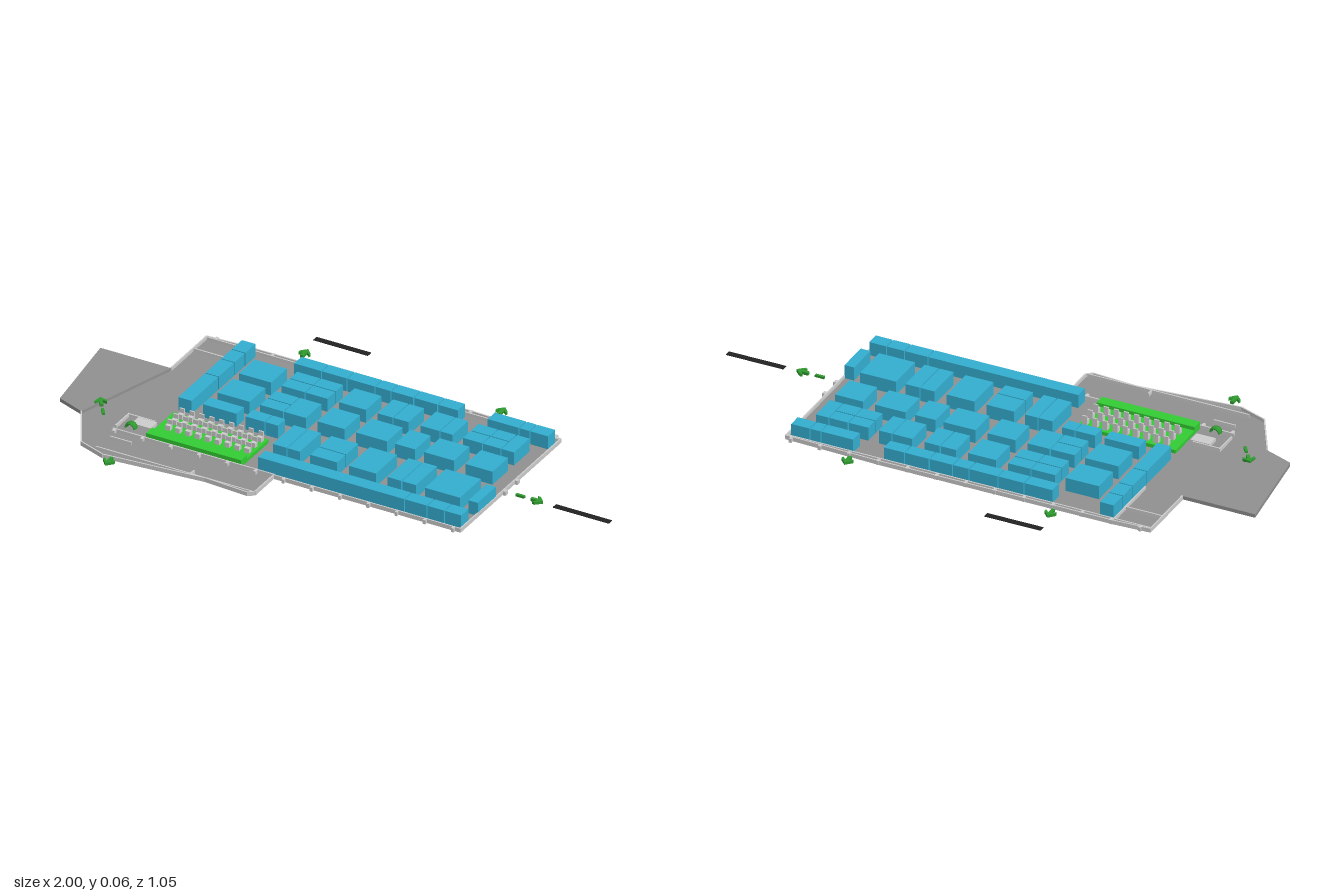
import * as THREE from 'three';

const mat = (color) => new THREE.MeshStandardMaterial({ color });

export function createModel() {
  const model = new THREE.Group();
  const grey = mat(0xcccccc), floorGrey = mat(0x909090), blue = mat(0x33aed0);
  const green = mat(0x33cc33), arrowGreen = mat(0x2f9a2f), dark = mat(0x222222);
  const FLOOR = 0.009, WALL = 0.021, TOP = 0.058;

  const group = (name, parent = model) => {
    const g = new THREE.Group();
    g.name = name;
    parent.add(g);
    return g;
  };
  const add = (parent, name, geometry, material) => {
    const m = new THREE.Mesh(geometry, material);
    m.name = name;
    parent.add(m);
    return m;
  };
  // box given by its limits
  const box = (parent, name, material, x0, x1, y0, y1, z0, z1) => {
    const m = add(parent, name, new THREE.BoxGeometry(x1 - x0, y1 - y0, z1 - z0), material);
    m.position.set((x0 + x1) / 2, (y0 + y1) / 2, (z0 + z1) / 2);
    return m;
  };
  // flat plate from an outline of [x, z] points
  const plate = (parent, name, material, points, y0, y1) => {
    const shape = new THREE.Shape(points.map(([x, z]) => new THREE.Vector2(x, -z)));
    const geo = new THREE.ExtrudeGeometry(shape, { depth: y1 - y0, bevelEnabled: false });
    const m = add(parent, name, geo.rotateX(-Math.PI / 2), material);
    m.position.y = y0;
    return m;
  };
  // thin upright wall between two [x, z] points
  const wall = (parent, [x0, z0], [x1, z1], height = WALL, thick = 0.005) => {
    const len = Math.hypot(x1 - x0, z1 - z0);
    const m = add(parent, 'wall', new THREE.BoxGeometry(len, height - 0.006, thick), grey);
    m.position.set((x0 + x1) / 2, (height + 0.006) / 2, (z0 + z1) / 2);
    m.rotation.y = -Math.atan2(z1 - z0, x1 - x0);
  };

  // floor: hall with entrance area, plus the western annex
  const hall = [
    [-0.735, -0.12], [-0.735, -0.355], [-0.6, -0.362], [0.25, -0.362], [0.595, -0.35],
    [0.595, 0.313], [-0.105, 0.313], [-0.105, 0.436], [-0.125, 0.452], [-0.29, 0.441],
    [-0.655, 0.473], [-0.757, 0.436], [-0.853, 0.265],
  ];
  plate(model, 'hallFloor', floorGrey, hall, 0.006, FLOOR);
  plate(model, 'annexFloor', floorGrey,
    [[-0.735, -0.12], [-0.853, 0.265], [-0.955, 0.227], [-1, -0.12]], 0.006, 0.019);

  // low outer walls and partitions
  const walls = group('walls');
  for (let i = 0; i < hall.length - 1; i++) wall(walls, hall[i], hall[i + 1]);
  [
    [[-0.735, -0.265], [-0.6, -0.265]], [[-0.6, -0.36], [-0.6, -0.12]],
    [[-0.73, -0.35], [0.59, -0.345]], [[-0.71, 0.2], [-0.71, 0.29]],
    [[-0.71, 0.31], [-0.105, 0.31]], [[-0.7, 0.44], [-0.11, 0.44]],
    [[-0.71, 0.205], [-0.61, 0.205]], [[-0.345, 0.415], [-0.345, 0.44]],
    [[-0.69, 0.36], [-0.61, 0.36]],
  ].forEach(([a, b]) => wall(walls, a, b));
  box(walls, 'entranceBlock', grey, -0.67, -0.6, 0.006, 0.022, 0.21, 0.255);

  // columns along the long walls and the east side
  const columns = group('columns');
  const column = (x, z) => box(columns, 'column', grey, x - 0.005, x + 0.005, 0.006, WALL, z - 0.008, z + 0.008);
  for (let i = 0; i < 13; i++) {
    const x = -0.7 + i * 0.106;
    column(x, -0.358);
    if (x > -0.75) column(x, 0.318);
  }
  [-0.05, 0.03].forEach((z) => column(0.603, z));

  // exhibition stands: rows of [z0, z1, [x0, x1, ...further pairs]]
  const stands = group('stands');
  const stand = (x0, x1, z0, z1) => box(stands, 'stand', blue, x0, x1, 0.0065, TOP, z0, z1);
  const G = 0.002;
  // a block cut into cells at the given x and z lines
  const block = (xs, zs) => {
    for (let i = 0; i < xs.length - 1; i++)
      for (let j = 0; j < zs.length - 1; j++)
        stand(xs[i] + G, xs[i + 1] - G, zs[j] + G, zs[j + 1] - G);
  };
  block([-0.592, -0.538], [-0.335, -0.265, -0.195, -0.09, 0.09]);
  block([-0.37, -0.265, -0.17, -0.065, -0.005, 0.08, 0.17, 0.247], [-0.337, -0.285]);
  block([0.355, 0.475, 0.515, 0.585], [-0.337, -0.285]);
  const rowA = [-0.247, -0.14], rowAHalf = [-0.247, -0.195, -0.14];
  block([-0.495, -0.37], rowA);
  block([-0.335, -0.245, -0.16], rowAHalf);
  block([-0.12, -0.015], rowA);
  block([0.025, 0.085, 0.145], rowA);
  block([0.185, 0.26, 0.31], rowA);
  block([0.345, 0.42, 0.49], rowAHalf);
  block([0.49, 0.54], rowA);
  const rowB = [-0.105, 0.002];
  block([-0.495, -0.37], rowB);
  block([-0.335, -0.245], [-0.105, -0.05, 0.002]);
  block([-0.245, -0.16], rowB);
  [[-0.12, -0.015], [0.025, 0.145], [0.17, 0.25], [0.28, 0.395], [0.435, 0.54]].forEach((xs) => block(xs, rowB));
  block([-0.5, -0.37], [0.037, 0.09]);
  block([-0.34, -0.265, -0.215], [0.037, 0.09]);
  const rowC = [0.057, 0.2];
  block([-0.175, -0.12, -0.07], rowC);
  block([-0.035, 0.07], [0.057, 0.14, 0.2]);
  [[0.11, 0.215], [0.255, 0.31, 0.365], [0.395, 0.53]].forEach((xs) => block(xs, rowC));
  block([0.558, 0.597], [0.077, 0.2]);
  block([-0.175, 0.375, 0.46, 0.525, 0.59], [0.245, 0.297]);

  // stage with its seating
  const stage = group('stage');
  box(stage, 'seatingBase', green, -0.587, -0.23, 0, 0.022, 0.127, 0.267);
  box(stage, 'platform', green, -0.587, -0.23, 0, 0.035, 0.267, 0.307);
  for (let row = 0; row < 3; row++) {
    for (let col = 0; col < 9; col++) {
      const chair = group('chair', stage);
      chair.position.set(-0.545 + col * 0.037, 0.022, 0.148 + row * 0.041);
      box(chair, 'seat', grey, -0.009, 0.009, 0, 0.018, -0.009, 0.009);
      box(chair, 'backrest', grey, -0.009, 0.009, 0.018, 0.034, -0.009, -0.004);
    }
  }

  // direction arrows, pointing along -z before turning
  const arrow = (x, z, turn, tail = true) => {
    const a = group('directionArrow');
    a.position.set(x, 0, z);
    a.rotation.y = turn;
    plate(a, 'arrowHead', arrowGreen, [
      [0, -0.024], [0.021, -0.002], [0.019, 0.007], [0.006, -0.004], [0.006, 0.021],
      [-0.006, 0.021], [-0.006, -0.004], [-0.019, 0.007], [-0.021, -0.002],
    ], 0.016, 0.026);
    if (tail) box(a, 'arrowTail', arrowGreen, -0.005, 0.005, 0.017, 0.025, 0.045, 0.078);
  };
  arrow(-0.4, -0.413, 0, false);
  arrow(0.343, -0.405, 0, false);
  arrow(0.724, 0.035, -Math.PI / 2);
  arrow(-0.825, 0.185, Math.PI / 5);
  arrow(-0.615, 0.503, Math.PI, false);

  // arched arrow at the entrance
  const arch = add(model, 'archedArrow', new THREE.TorusGeometry(0.016, 0.005, 6, 12, Math.PI), arrowGreen);
  arch.position.set(-0.655, 0.026, 0.285);
  arch.scale.z = 2.5;

  // blank strips on the ground beside the exits
  box(model, 'exitStrip', dark, 0.79, 1, 0.019, 0.021, 0.024, 0.046);
  box(model, 'exitStrip', dark, -0.42, -0.215, 0.019, 0.021, -0.526, -0.504);

  return model;
}
